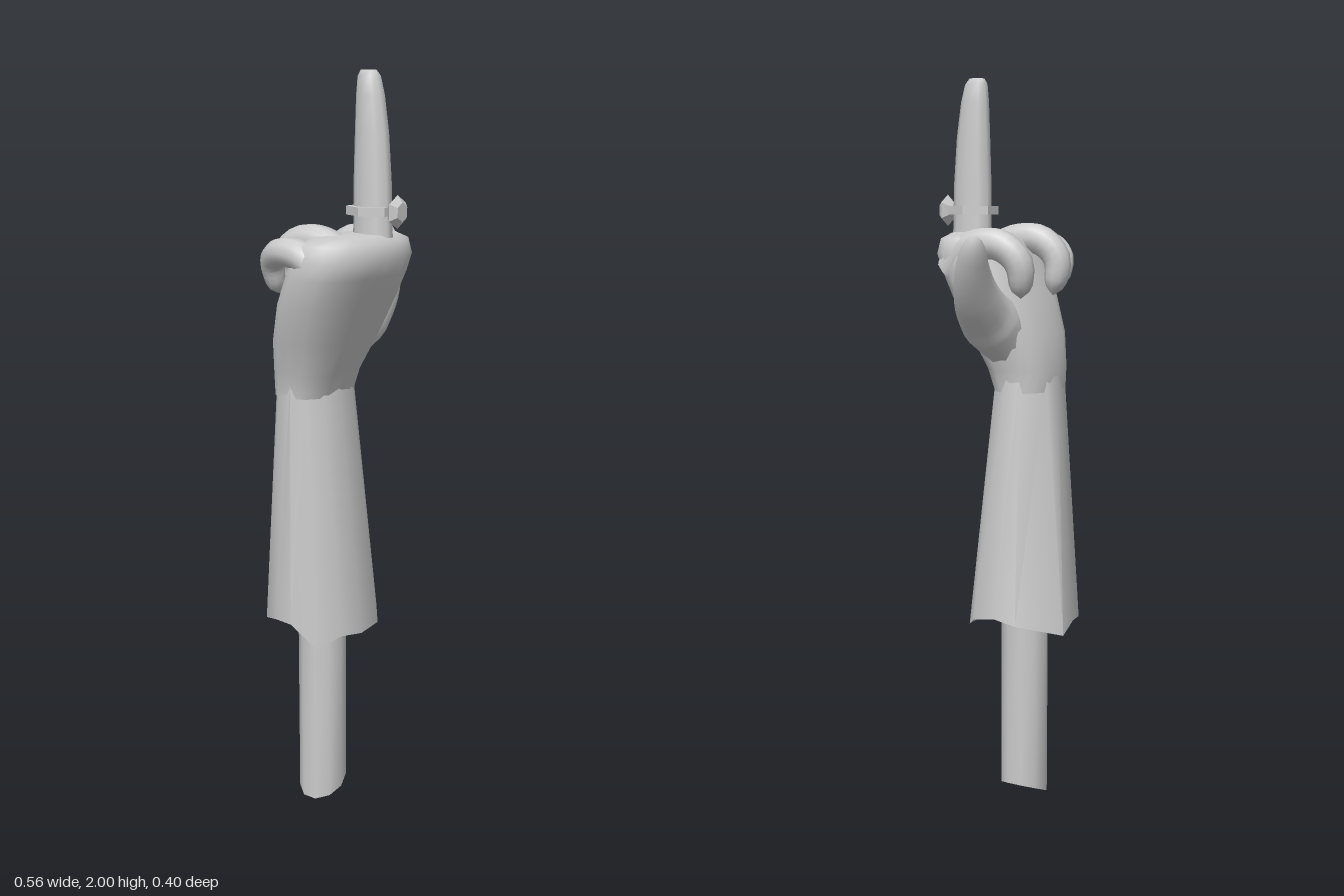
import * as THREE from 'three';
import { mergeVertices, toCreasedNormals } from 'three/addons/utils/BufferGeometryUtils.js';

const material = new THREE.MeshStandardMaterial({ color: 0xcccccc });
const doubleMaterial = new THREE.MeshStandardMaterial({ color: 0xcccccc, side: THREE.DoubleSide });

// Weld the seams and shade smoothly
function smooth(geometry) {
  geometry.deleteAttribute('normal');
  geometry.deleteAttribute('uv');
  const welded = mergeVertices(geometry, 1e-5);
  welded.computeVertexNormals();
  return welded;
}

// Skin a stack of closed rings, each a list of [x, y, z] running from +x towards +z
function loft(rings) {
  const n = rings[0].length, index = [];
  for (let j = 0; j < rings.length - 1; j++) {
    for (let i = 0; i < n; i++) {
      const k = (i + 1) % n, a = j * n + i, b = a + n, c = j * n + k, d = c + n;
      index.push(a, b, c, b, d, c);
    }
  }
  const geometry = new THREE.BufferGeometry();
  geometry.setAttribute('position', new THREE.Float32BufferAttribute(rings.flat(2), 3));
  geometry.setIndex(index);
  return smooth(geometry);
}

// Rounded cross-section; power below 1 makes it boxier
function oval(n, y, cx, cz, rx, rz, power = 1) {
  const bend = (v) => Math.sign(v) * Math.abs(v) ** power;
  return Array.from({ length: n }, (_, i) => {
    const a = (i / n) * Math.PI * 2;
    return [cx + rx * bend(Math.cos(a)), y, cz + rz * bend(Math.sin(a))];
  });
}

// Tapered digit along a curve, rounded off at the tip
function digit(points, radii, sides = 10, steps = 18) {
  const curve = new THREE.CatmullRomCurve3(points.map((p) => new THREE.Vector3(...p)));
  const geometry = new THREE.TubeGeometry(curve, steps, 1, sides);
  const pos = geometry.attributes.position, v = new THREE.Vector3();
  for (let j = 0; j <= steps; j++) {
    const t = j / steps, centre = curve.getPointAt(t);
    const f = t * (radii.length - 1), s = Math.min(Math.floor(f), radii.length - 2);
    let r = THREE.MathUtils.lerp(radii[s], radii[s + 1], f - s);
    if (j === steps) r = 0;
    if (j === steps - 1) r *= 0.8;
    for (let i = 0; i <= sides; i++) {
      const q = j * (sides + 1) + i;
      v.fromBufferAttribute(pos, q).sub(centre).multiplyScalar(r).add(centre);
      pos.setXYZ(q, v.x, v.y, v.z);
    }
  }
  return smooth(geometry);
}

export function createModel() {
  const group = new THREE.Group();
  const add = (name, geometry, mat = material) => {
    const mesh = new THREE.Mesh(geometry, mat);
    mesh.name = name;
    group.add(mesh);
    return mesh;
  };

  // Bone with a slanted cut at the bottom
  const bone = new THREE.CylinderGeometry(0.066, 0.066, 0.6, 10);
  bone.translate(-0.064, 0.3, -0.04);
  const bp = bone.attributes.position;
  for (let i = 0; i < bp.count; i++) {
    if (bp.getY(i) < 0.1) bp.setY(i, (bp.getX(i) + 0.13) * 0.46);
  }
  add('bone', toCreasedNormals(bone, 0.9));

  // Forearm: ragged rim, hollowed underside, tapering up to the wrist
  const rim = [
    [0.1, 0.57, -0.03], [0.07, 0.55, 0.05], [0.02, 0.52, 0.09], [-0.07, 0.52, 0.1],
    [-0.14, 0.53, 0.085], [-0.195, 0.5, 0.04], [-0.215, 0.56, -0.03], [-0.19, 0.55, -0.1],
    [-0.155, 0.53, -0.165], [-0.05, 0.55, -0.195], [0.03, 0.53, -0.203], [0.105, 0.56, -0.095],
  ];
  const wrist = rim.map(([x, , z]) => {
    const a = Math.atan2((z + 0.05) / 0.15, (x + 0.055) / 0.16);
    return [-0.08 + 0.122 * Math.cos(a), 1.22, -0.047 + 0.086 * Math.sin(a)];
  });
  const core = rim.map(() => [-0.064, 0.6, -0.04]);
  add('forearm', toCreasedNormals(loft([core, rim, wrist]), 0.8), doubleMaterial);

  // Palm and back of the hand: y, x min, x max, z min, z max
  const sections = [
    [1.18, -0.198, 0.038, -0.13, 0.035], [1.24, -0.205, 0.045, -0.132, 0.055],
    [1.33, -0.235, 0.075, -0.12, 0.1], [1.43, -0.265, 0.1, -0.085, 0.145],
    [1.5, -0.276, 0.105, -0.05, 0.176], [1.545, -0.278, 0.103, -0.03, 0.192],
    [1.585, -0.265, 0.096, -0.01, 0.178], [1.6, -0.22, 0.06, 0.02, 0.15],
    [1.603, -0.09, -0.09, 0.08, 0.08],
  ];
  add('hand', loft(sections.map(([y, x0, x1, z0, z1]) =>
    oval(20, y, (x0 + x1) / 2, (z0 + z1) / 2, (x1 - x0) / 2, (z1 - z0) / 2, 0.8))));

  // Curled fingers and outstretched thumb
  add('indexFinger', digit(
    [[0.055, 1.5, 0.12], [0.062, 1.56, 0.06], [0.058, 1.57, -0.02], [0.05, 1.525, -0.075], [0.035, 1.43, -0.075]],
    [0.045, 0.044, 0.042, 0.038, 0.027]));
  add('ringFinger', digit(
    [[-0.14, 1.5, 0.12], [-0.138, 1.57, 0.05], [-0.142, 1.58, -0.04], [-0.148, 1.53, -0.092], [-0.14, 1.43, -0.085]],
    [0.045, 0.044, 0.042, 0.037, 0.027]));
  add('littleFinger', digit(
    [[-0.225, 1.5, 0.1], [-0.24, 1.555, 0.04], [-0.238, 1.562, -0.03], [-0.212, 1.53, -0.078], [-0.19, 1.45, -0.078]],
    [0.042, 0.04, 0.036, 0.032, 0.023]));
  add('thumb', digit(
    [[-0.02, 1.28, -0.03], [0.06, 1.37, 0], [0.14, 1.43, -0.005], [0.205, 1.5, -0.025], [0.272, 1.6, -0.068]],
    [0.06, 0.082, 0.064, 0.045, 0.021]));

  // Raised middle finger: y, z centre, half width, half depth
  const raised = [
    [1.5, 0.11, 0.045, 0.06], [1.62, 0.108, 0.038, 0.055], [1.72, 0.107, 0.037, 0.054],
    [1.85, 0.104, 0.035, 0.047], [1.94, 0.099, 0.031, 0.039], [1.985, 0.095, 0.027, 0.031],
    [2, 0.093, 0.018, 0.021], [2, 0.093, 0, 0],
  ];
  add('middleFinger', loft(raised.map(([y, z, rx, rz]) => oval(10, y, -0.038, z, rx, rz))));

  // Six-sided ring band
  const hexagon = (r, Type) => new Type(Array.from({ length: 6 }, (_, i) =>
    new THREE.Vector2(r * Math.cos(i * Math.PI / 3), r * 1.15 * Math.sin(i * Math.PI / 3))));
  const bandShape = hexagon(0.06, THREE.Shape);
  bandShape.holes.push(hexagon(0.042, THREE.Path));
  const band = new THREE.ExtrudeGeometry(bandShape, { depth: 0.022, bevelEnabled: false });
  band.rotateX(-Math.PI / 2).translate(-0.038, 1.647, 0.105);
  add('ringBand', band);

  // Faceted gem on the front of the band
  const gem = new THREE.LatheGeometry(
    [[0, 0.155], [0.018, 0.165], [0.042, 0.185], [0.024, 0.2], [0, 0.2]].map((p) => new THREE.Vector2(...p)), 6);
  gem.rotateX(Math.PI / 2).translate(-0.04, 1.658, 0);
  add('ringGem', toCreasedNormals(gem, 0.2));

  return group;
}
